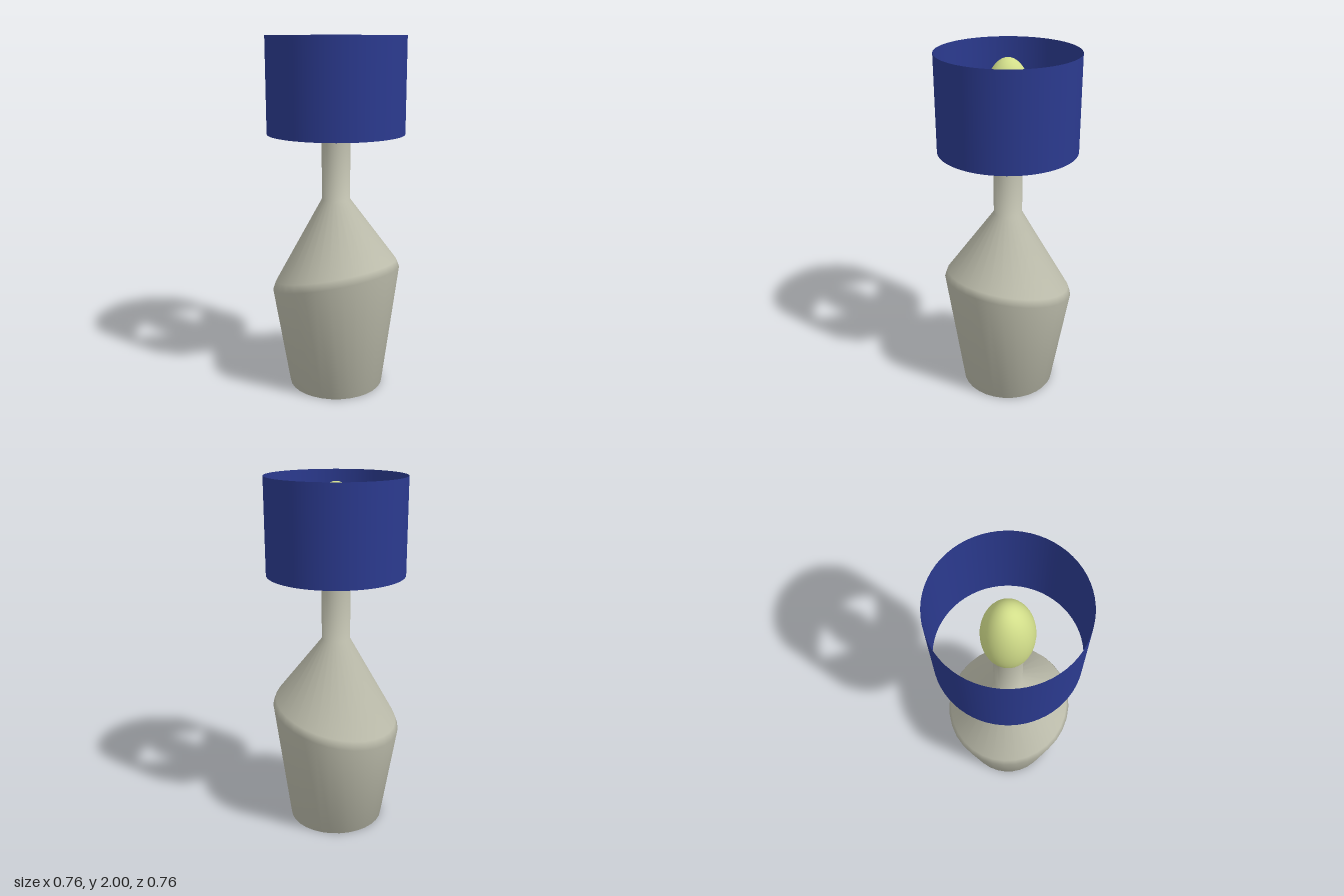
import * as THREE from 'three';
import { mergeVertices } from 'three/addons/utils/BufferGeometryUtils.js';

const SEGMENTS = 32;

function addMesh(group, name, geometry, color, side = THREE.FrontSide) {
  const mesh = new THREE.Mesh(geometry, new THREE.MeshStandardMaterial({ color, side }));
  mesh.name = name;
  group.add(mesh);
  return mesh;
}

// Turned bottle-shaped body whose two shoulder rings lie on a slanted plane
function bodyGeometry() {
  const profile = [
    [0, 0], [0.272, 0],              // base
    [0.371, 0.64], [0.355, 0.685],   // bevelled shoulder
    [0.08, 1.105], [0.08, 1.48],     // neck
  ].map(([r, y]) => new THREE.Vector2(r, y));
  const geometry = new THREE.LatheGeometry(profile, SEGMENTS);
  const p = geometry.attributes.position;
  for (let i = 0; i < p.count; i++) {
    const ring = i % profile.length;
    if (ring !== 2 && ring !== 3) continue;
    const x = p.getX(i), y = p.getY(i), z = p.getZ(i);
    p.setXYZ(i, x * 0.978, y + 0.235 * x + 0.05 * z, z);
  }
  // Weld the seam and share normals so the surface shades smoothly
  geometry.deleteAttribute('uv');
  geometry.deleteAttribute('normal');
  const welded = mergeVertices(geometry);
  welded.computeVertexNormals();
  return welded;
}

export function createModel() {
  const lamp = new THREE.Group();
  lamp.name = 'tableLamp';

  addMesh(lamp, 'body', bodyGeometry(), 0xbdbdac);

  // Egg-shaped bulb seated on the neck
  const bulb = addMesh(lamp, 'bulb', new THREE.SphereGeometry(0.135, 32, 24), 0xd2de8a);
  bulb.scale.y = 2;
  bulb.position.y = 1.7;

  // Thin drum shade, open at both ends
  const shade = addMesh(lamp, 'shade',
    new THREE.CylinderGeometry(0.382, 0.382, 0.525, 64, 1, true), 0x2b3a8f, THREE.DoubleSide);
  shade.position.y = 1.7375;

  return lamp;
}
